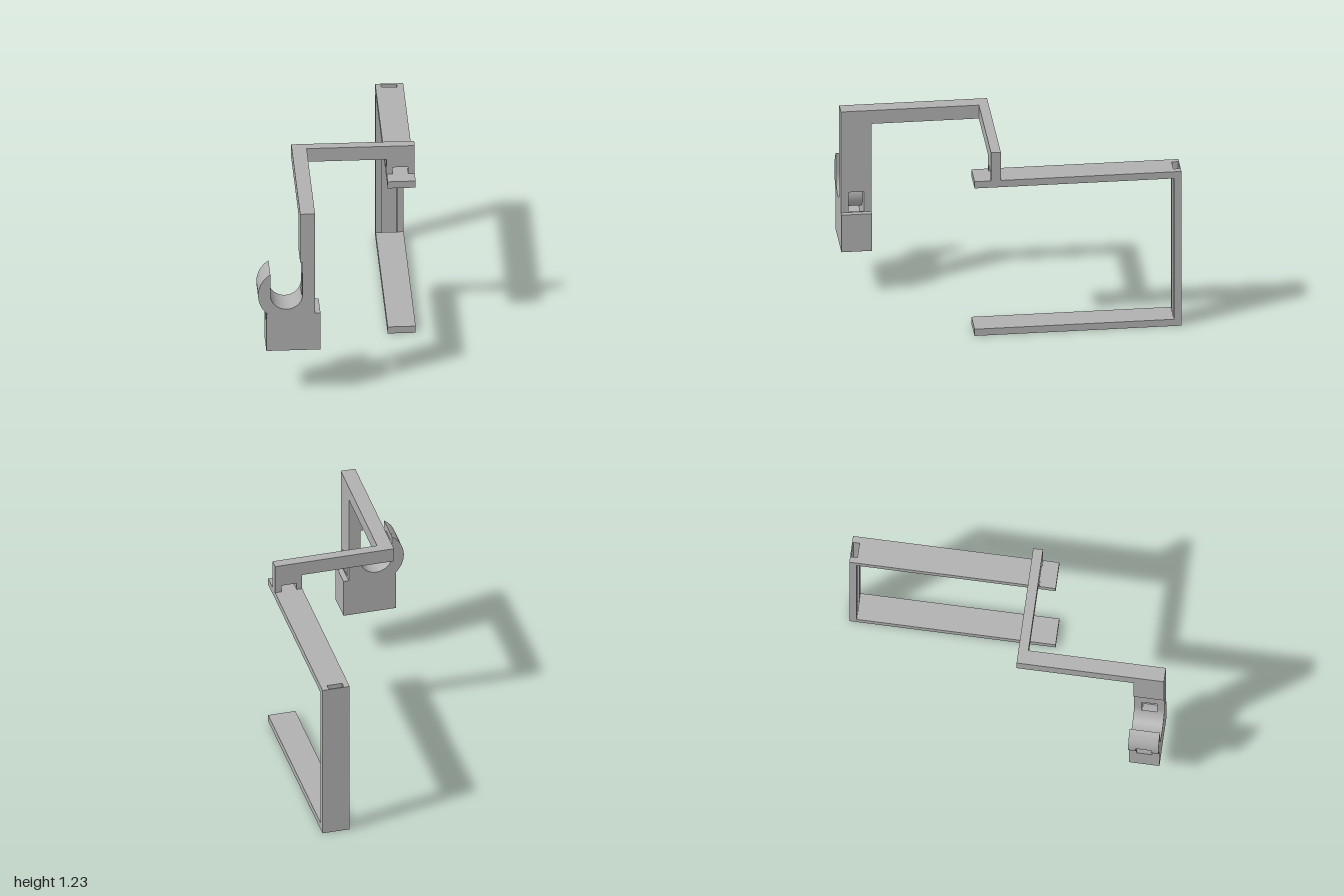
import * as THREE from 'three';
import { toCreasedNormals } from 'three/addons/utils/BufferGeometryUtils.js';

const CX = -0.328;                        // shared centre line of cradle and tie slot
const CRADLE = { y: 0.68, r: 0.098 };     // U-shaped seat
const HOOK = { y: 0.68, r: 0.172 };       // outside of the hook
const SLOT = { y: 0.62, r: 0.185 };       // outside of the curved tie slot
const CORE = { y: 0.62, r: 0.1 };         // inside of the curved tie slot

export function createModel() {
  const model = new THREE.Group();
  model.name = 'bracket';
  const grey = new THREE.MeshStandardMaterial({ color: 0xb0b0b0 });
  grey.name = 'plain grey';

  function add(name, geometry) {
    const mesh = new THREE.Mesh(geometry, grey);
    mesh.name = name;
    model.add(mesh);
  }
  // Box from its limits on each axis
  function box(name, x0, x1, y0, y1, z0, z1) {
    const g = new THREE.BoxGeometry(x1 - x0, y1 - y0, z1 - z0);
    g.translate((x0 + x1) / 2, (y0 + y1) / 2, (z0 + z1) / 2);
    add(name, g);
  }
  function slab(name, shape, z0, z1) {
    const g = new THREE.ExtrudeGeometry(shape, { depth: z1 - z0, bevelEnabled: false, curveSegments: 40 });
    g.translate(0, 0, z0);
    add(name, toCreasedNormals(g, 0.5));
  }
  // Arc on a circle between two points given as [x, y]
  function arc(shape, c, from, to, clockwise) {
    const angle = (p) => Math.atan2(p[1] - c.y, p[0] - CX);
    shape.absarc(CX, c.y, c.r, angle(from), angle(to), clockwise);
  }
  // Point on a circle at a given x, on its upper (1) or lower (-1) half
  const at = (c, x, side) => [x, c.y + side * Math.sqrt(c.r ** 2 - (x - CX) ** 2)];
  // Crossing of two circles on the centre line, on the left (-1) or right (1)
  function cross(a, b, side) {
    const y = (a.y ** 2 - a.r ** 2 - b.y ** 2 + b.r ** 2) / (2 * (a.y - b.y));
    return [CX + side * Math.sqrt(a.r ** 2 - (y - a.y) ** 2), y];
  }
  function start(points) {
    const s = new THREE.Shape();
    points.forEach((p, i) => (i ? s.lineTo(...p) : s.moveTo(...p)));
    return s;
  }

  // C-shaped frame with a vertical channel in its back
  const top = 1.04, t = 0.045;
  box('frameTop', 0.33, 0.5, top - t, top, -0.955, 0.26);
  box('frameBottom', 0.33, 0.5, 0, t, -0.955, 0.26);
  box('frameBack', 0.33, 0.5, 0, top, -1, -0.993);
  box('channelSideRight', 0.33, 0.365, 0, top, -0.993, -0.955);
  box('channelSideLeft', 0.46, 0.5, 0, top, -0.993, -0.955);

  // Cross arm, with a slotted foot on the frame
  slab('crossArm', start([
    [-0.245, 1.14], [0.33, 1.14], [0.33, top], [0.365, top], [0.365, 1.085],
    [0.46, 1.085], [0.46, top], [0.5, top], [0.5, 1.23], [-0.245, 1.23],
  ]), 0.1, 0.16);
  box('forwardArm', -0.245, -0.155, 1.14, 1.23, 0.16, 0.815);

  // Column, hook and base: solid outer cheeks
  const inL = CX - CRADLE.r, inR = CX + CRADLE.r;
  const tip = at(HOOK, inL, 1), root = [CX - Math.sqrt(HOOK.r ** 2 - 0.13 ** 2), 0.55];
  const cheek = start([
    [-0.45, 0.3], [-0.122, 0.3], [-0.122, 0.55], [-0.155, 0.55], [-0.155, 1.23],
    [-0.245, 1.23], [-0.245, 0.9], [inR, 0.9], [inR, CRADLE.y],
  ]);
  arc(cheek, CRADLE, [inR, CRADLE.y], [inL, CRADLE.y], true);
  cheek.lineTo(...tip);
  arc(cheek, HOOK, tip, root, false);
  cheek.lineTo(-0.45, 0.55);
  const z0 = 0.815, z1 = 0.86, z2 = 0.955, z3 = 1;
  slab('backCheek', cheek, z0, z1);
  slab('frontCheek', cheek, z2, z3);

  // Middle layer, split by the curved tie slot
  const colIn = at(SLOT, inR, 1), colOut = at(SLOT, -0.155, 1);
  const column = start([colOut, [-0.155, 1.23], [-0.245, 1.23], [-0.245, 0.9], [inR, 0.9], colIn]);
  arc(column, SLOT, colIn, colOut, true);
  slab('columnCore', column, z1, z2);

  const exitR = at(SLOT, -0.155, -1), exitL = at(SLOT, -0.45, -1);
  const base = start([[-0.45, 0.3], [-0.122, 0.3], [-0.122, 0.55], [-0.155, 0.55], exitR]);
  arc(base, SLOT, exitR, exitL, true);
  slab('baseCore', base, z1, z2);

  const hookOut = cross(HOOK, SLOT, -1), hookIn = at(SLOT, inL, 1);
  const hookTip = start([hookIn, tip]);
  arc(hookTip, HOOK, tip, hookOut, false);
  arc(hookTip, SLOT, hookOut, hookIn, true);
  slab('hookTip', hookTip, z1, z2);

  const left = cross(CRADLE, CORE, -1), right = cross(CRADLE, CORE, 1);
  const seat = start([left]);
  arc(seat, CORE, left, right, false);
  arc(seat, CRADLE, right, left, true);
  slab('cradleSeat', seat, z1, z2);

  return model;
}
